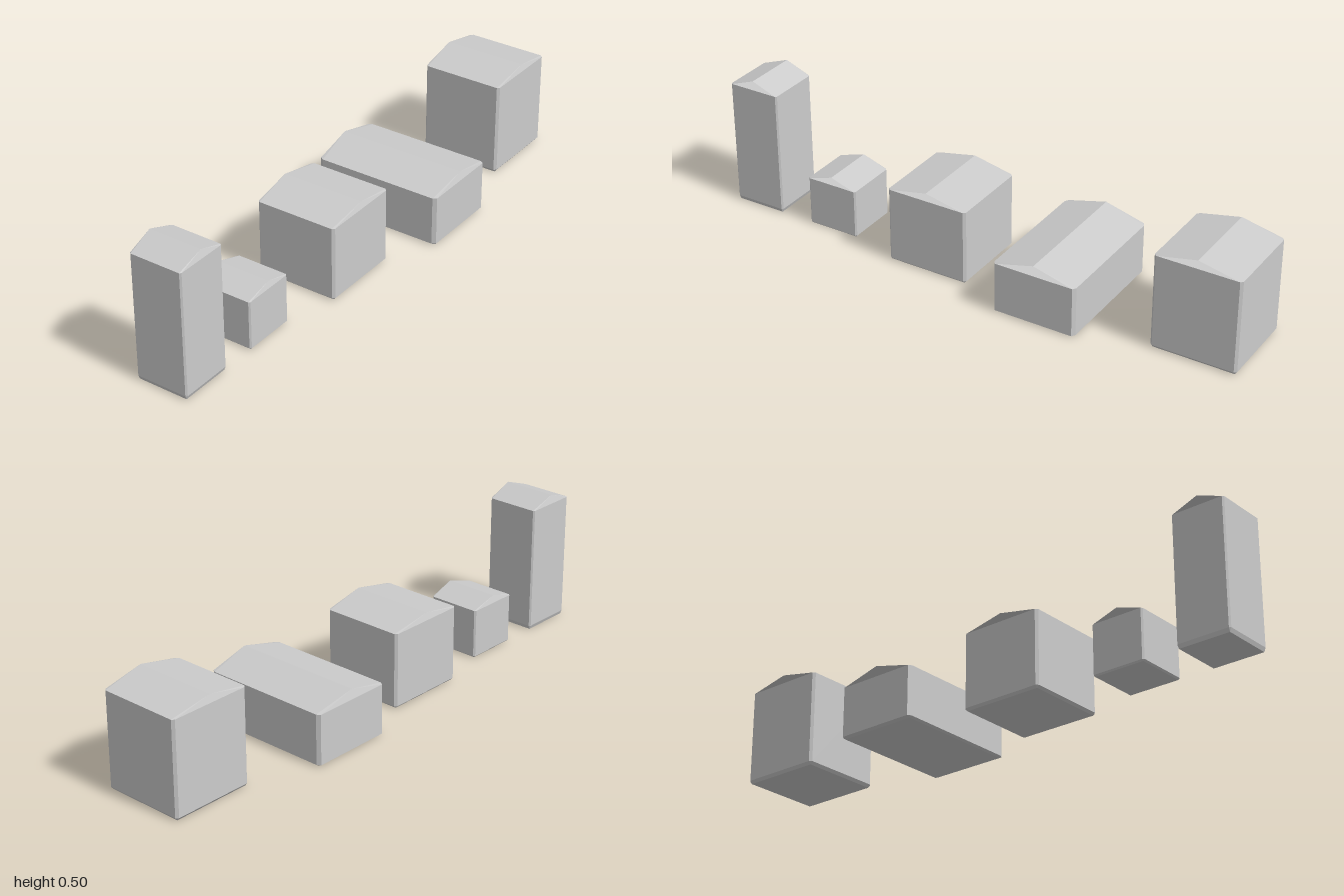
import * as THREE from 'three';

const material = new THREE.MeshStandardMaterial({ color: 0xcccccc, flatShading: true, side: THREE.DoubleSide });

// Flat-shaded mesh from a list of convex polygons, corners counter-clockwise from outside
function facesMesh(name, faces) {
  const positions = [];
  for (const face of faces) {
    for (let i = 1; i < face.length - 1; i++) {
      positions.push(...face[0], ...face[i], ...face[i + 1]);
    }
  }
  const geometry = new THREE.BufferGeometry();
  geometry.setAttribute('position', new THREE.Float32BufferAttribute(positions, 3));
  geometry.computeVertexNormals();
  const mesh = new THREE.Mesh(geometry, material);
  mesh.name = name;
  return mesh;
}

// Rectangle with cut corners at height y, running round from the front right corner
function ring(y, hx, hz, cx, cz) {
  return [
    [hx - cx, y, hz], [hx, y, hz - cz], [hx, y, -hz + cz], [hx - cx, y, -hz],
    [-hx + cx, y, -hz], [-hx, y, -hz + cz], [-hx, y, hz - cz], [-hx + cx, y, hz],
  ];
}

function house({ name, z, hx, hz, eave, ridge }) {
  const group = new THREE.Group();
  group.name = name;
  group.position.z = z;
  const cx = hx * 0.055, cz = hz * 0.055;

  // Walls with bevelled corners and a bevelled foot
  const foot = ring(0, hx - cx, hz - cz, 0, 0);
  const low = ring(eave * 0.03, hx, hz, cx, cz);
  const top = ring(eave, hx, hz, cx, cz);
  const walls = [[...foot].reverse(), top];
  for (let i = 0; i < 8; i++) {
    const j = (i + 1) % 8;
    walls.push([foot[i], foot[j], low[j], low[i]], [low[i], low[j], top[j], top[i]]);
  }
  group.add(facesMesh('walls', walls));

  // Thin pitched roof with open gable ends and narrow corner facets
  const right = [hx, ridge, 0], left = [-hx, ridge, 0];
  group.add(facesMesh('roof', [
    [top[7], top[0], right, left],
    [top[0], top[1], right],
    [top[2], top[3], right],
    [top[3], top[4], left, right],
    [top[4], top[5], left],
    [top[6], top[7], left],
  ]));
  return group;
}

export function createModel() {
  const model = new THREE.Group();
  model.name = 'houseRow';
  const houses = [
    { name: 'towerHouse', z: 0.902, hx: 0.098, hz: 0.098, eave: 0.461, ridge: 0.496 },
    { name: 'smallHouse', z: 0.583, hx: 0.098, hz: 0.098, eave: 0.18, ridge: 0.21 },
    { name: 'middleHouse', z: 0.155, hx: 0.153, hz: 0.153, eave: 0.275, ridge: 0.305 },
    { name: 'wideHouse', z: -0.312, hx: 0.24, hz: 0.153, eave: 0.185, ridge: 0.223 },
    { name: 'backHouse', z: -0.847, hx: 0.153, hz: 0.153, eave: 0.345, ridge: 0.376 },
  ];
  for (const spec of houses) model.add(house(spec));
  return model;
}
